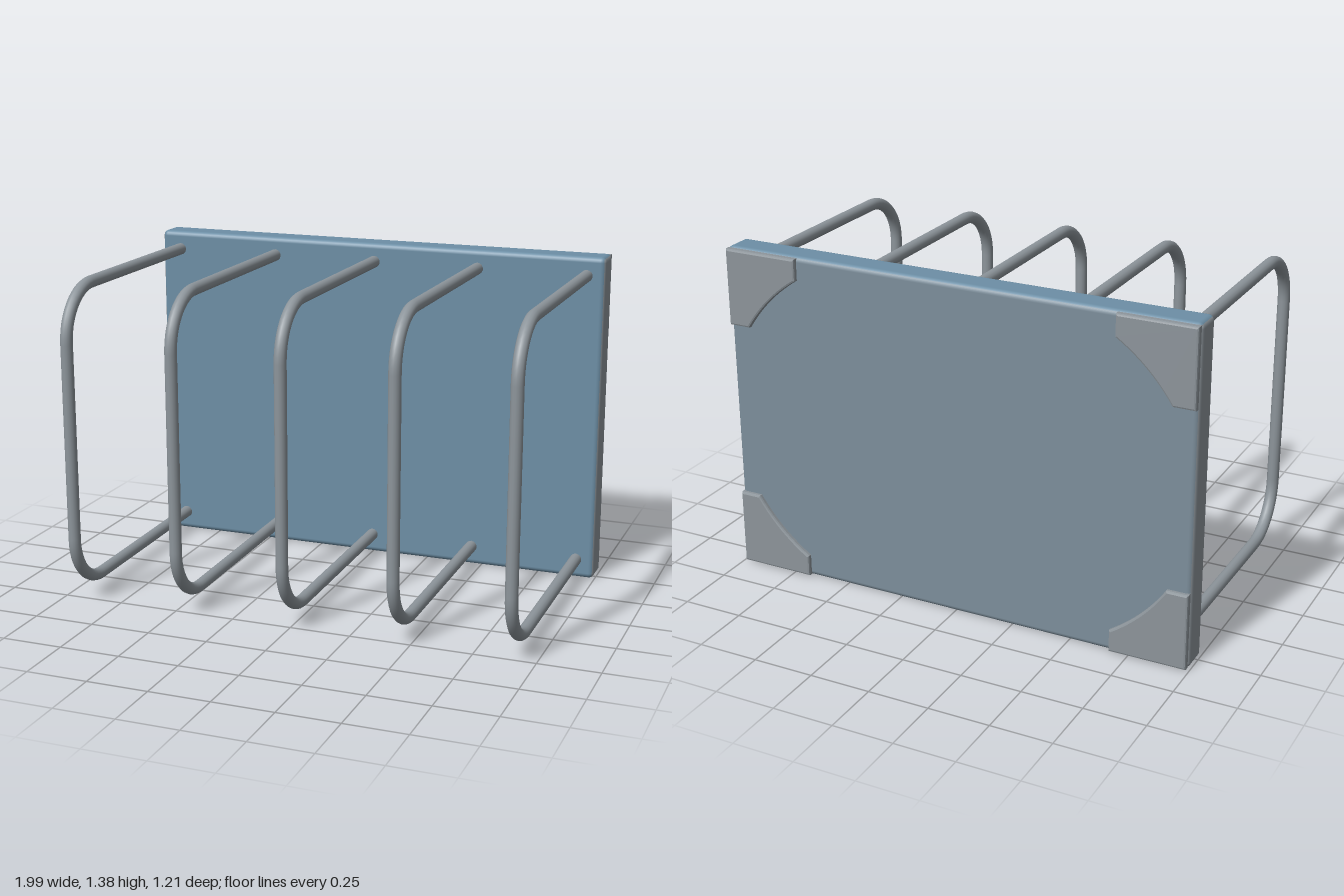
import * as THREE from 'three';
import { RoundedBoxGeometry } from 'three/addons/geometries/RoundedBoxGeometry.js';

const paintedBlue = new THREE.MeshStandardMaterial({ color: 0x6d8fa6 });
const wornGrey = new THREE.MeshStandardMaterial({ color: 0x8d959b });
const wornBack = new THREE.MeshStandardMaterial({ color: 0x7d8f9c });

const WIDTH = 1.99, BOTTOM = 0.01, TOP = 1.39, FRONT = -0.46, BACK = -0.587;

function add(parent, name, geometry, material) {
  const mesh = new THREE.Mesh(geometry, material);
  mesh.name = name;
  parent.add(mesh);
  return mesh;
}

// Centre line of one rail: out of the board, down the front, back into the board
function railPath(x) {
  const top = 1.313, low = 0.08, foot = 0.092, front = 0.58, r = 0.21, root = FRONT - 0.04;
  const p = (y, z) => new THREE.Vector3(x, y, z);
  const k = r * 0.45;
  const path = new THREE.CurvePath();
  path.add(new THREE.LineCurve3(p(top, root), p(top, front - r)));
  path.add(new THREE.CubicBezierCurve3(p(top, front - r), p(top, front - k), p(top - k, front), p(top - r, front)));
  path.add(new THREE.LineCurve3(p(top - r, front), p(low + r, front)));
  path.add(new THREE.CubicBezierCurve3(p(low + r, front), p(low + k, front), p(low, front - k), p(low, front - r)));
  path.add(new THREE.LineCurve3(p(low, front - r), p(foot, root)));
  return path;
}

// Thin raised corner plate with a scooped inner edge, its outer corner at the origin
function cornerPlateGeometry() {
  const s = 0.3, w = 0.11;
  const shape = new THREE.Shape();
  shape.moveTo(0, 0);
  shape.lineTo(s, 0);
  shape.lineTo(s, w * 0.7);
  shape.quadraticCurveTo(w * 1.5, w * 1.5, w * 0.7, s);
  shape.lineTo(0, s);
  shape.closePath();
  return new THREE.ExtrudeGeometry(shape, {
    depth: 0.02, bevelEnabled: true, bevelSize: 0.008, bevelThickness: 0.008, bevelSegments: 2, curveSegments: 10,
  });
}

export function createModel() {
  const group = new THREE.Group();
  group.name = 'wallRack';

  // Backboard, with a more worn rear face
  const board = add(group, 'backboard',
    new RoundedBoxGeometry(WIDTH, TOP - BOTTOM, FRONT - BACK, 3, 0.022),
    [wornGrey, wornGrey, paintedBlue, paintedBlue, paintedBlue, wornBack]);
  board.position.set(0, (TOP + BOTTOM) / 2, (FRONT + BACK) / 2);

  // Corner plates on the rear, turned a quarter for each corner
  const plate = cornerPlateGeometry();
  const inset = 0.014;
  const x = WIDTH / 2 - inset;
  const corners = [[-x, BOTTOM + inset], [x, BOTTOM + inset], [x, TOP - inset], [-x, TOP - inset]];
  corners.forEach(([cx, cy], i) => {
    const mesh = add(group, 'cornerPlate' + (i + 1), plate, wornGrey);
    mesh.position.set(cx, cy, -0.598);
    mesh.rotation.z = i * Math.PI / 2;
  });

  // Five bent rails
  [-0.908, -0.455, 0, 0.455, 0.918].forEach((railX, i) => {
    add(group, 'rail' + (i + 1), new THREE.TubeGeometry(railPath(railX), 120, 0.025, 14, false), wornGrey);
  });

  return group;
}
